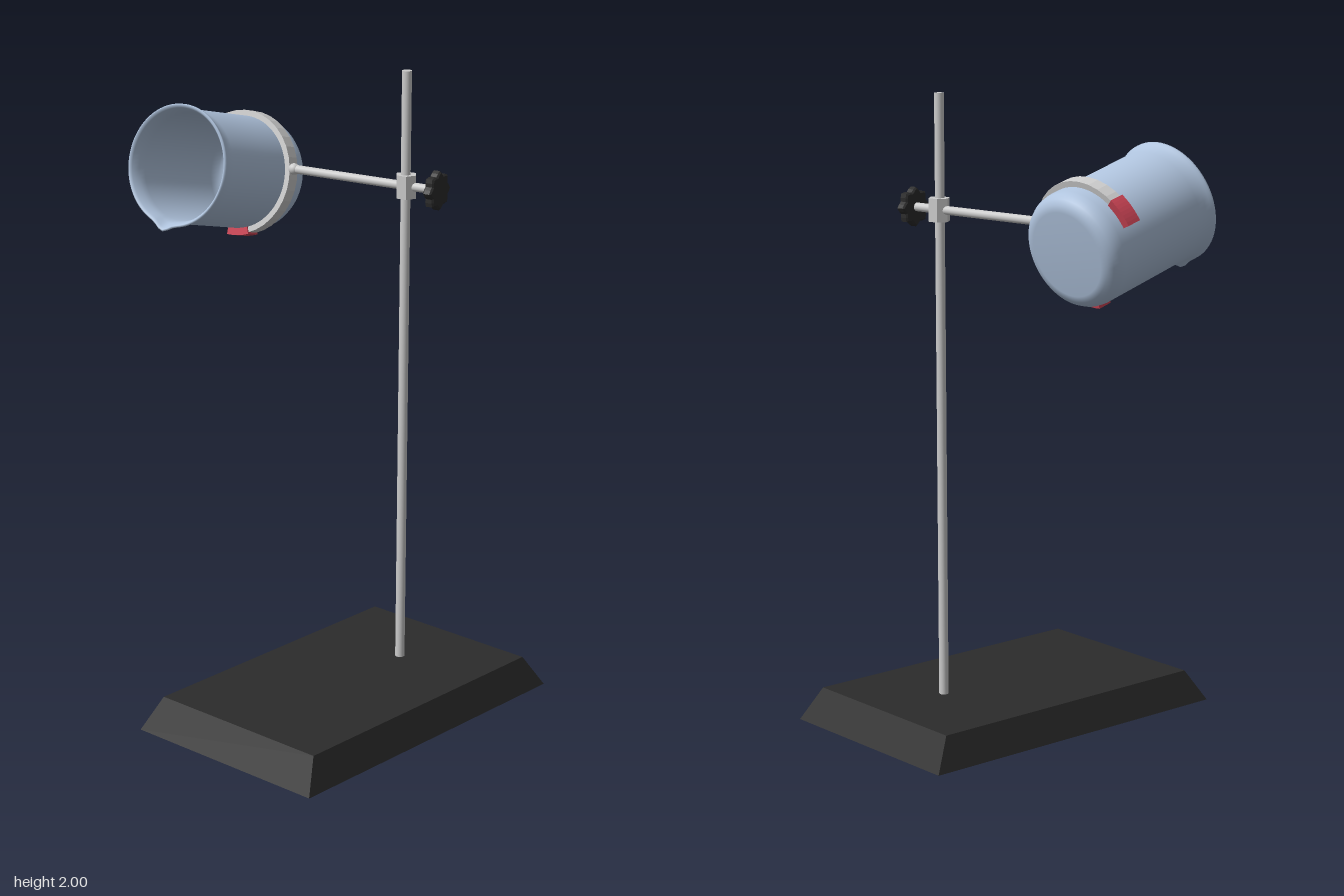
import * as THREE from 'three';
import { mergeVertices } from 'three/addons/utils/BufferGeometryUtils.js';

const mat = (color, flatShading = false) => {
  const m = new THREE.MeshStandardMaterial({ color });
  m.flatShading = flatShading;
  return m;
};
const rad = THREE.MathUtils.degToRad;

function add(parent, name, geometry, material, x = 0, y = 0, z = 0) {
  const mesh = new THREE.Mesh(geometry, material);
  mesh.name = name;
  mesh.position.set(x, y, z);
  parent.add(mesh);
  return mesh;
}

// Flat curved band between two angles (degrees), centred on z = 0
function band(inner, outer, from, to, depth, curveSegments) {
  const s = new THREE.Shape();
  s.absarc(0, 0, outer, rad(from), rad(to), false);
  s.absarc(0, 0, inner, rad(to), rad(from), true);
  s.closePath();
  return new THREE.ExtrudeGeometry(s, { depth, bevelEnabled: false, curveSegments }).translate(0, 0, -depth / 2);
}

// Turned cup with a flared rim, pulled out into a small pouring lip
function beakerGeometry() {
  const profile = [
    [0, 0], [0.13, 0], [0.15, 0.005], [0.165, 0.017], [0.174, 0.034], [0.177, 0.055],
    [0.177, 0.23], [0.177, 0.395], [0.179, 0.42], [0.184, 0.436], [0.189, 0.444], [0.189, 0.45],
    [0.184, 0.453], [0.177, 0.445], [0.17, 0.42], [0.167, 0.395], [0.167, 0.06],
    [0.16, 0.03], [0.14, 0.014], [0, 0.012],
  ].map(([r, y]) => new THREE.Vector2(r, y));
  let g = new THREE.LatheGeometry(profile, 72);
  const p = g.attributes.position;
  for (let i = 0; i < p.count; i++) {
    const x = p.getX(i), y = p.getY(i), z = p.getZ(i), r = Math.hypot(x, z);
    const k = THREE.MathUtils.smoothstep(y, 0.385, 0.45);
    if (k === 0 || r < 0.1) continue;
    const a = (Math.atan2(x, z) + 0.1) / 0.14;
    const s = 1 + (0.018 * k * Math.exp(-a * a)) / r;
    p.setXYZ(i, x * s, y, z * s);
  }
  g.deleteAttribute('uv');
  g.deleteAttribute('normal');
  g = mergeVertices(g, 1e-5);
  g.computeVertexNormals();
  return g.rotateX(Math.PI / 2);
}

export function createModel() {
  const root = new THREE.Group();
  root.name = 'laboratoryStand';
  const metal = mat(0xcccccc), dark = mat(0x2b2b2b, true);
  const red = mat(0xcc4455), glass = mat(0xb0c4de);

  // Base: a slab with sloping sides
  const slab = new THREE.BoxGeometry(0.706, 0.102, 1.12);
  const p = slab.attributes.position;
  for (let i = 0; i < p.count; i++) {
    if (p.getY(i) > 0) p.setXYZ(i, p.getX(i) * 0.886, p.getY(i), p.getZ(i) * 0.887);
  }
  slab.computeVertexNormals();
  add(root, 'base', slab, dark, 0.205, 0.051, 0);

  // Upright rod
  add(root, 'rod', new THREE.CylinderGeometry(0.015, 0.015, 1.91, 24), metal, 0.22, 1.045, -0.242);

  // Clamp arm group, with its x axis along the arm
  const arm = new THREE.Group();
  arm.name = 'clampArm';
  arm.position.set(0.22, 1.645, -0.245);
  arm.rotation.y = rad(9.7);
  root.add(arm);
  add(arm, 'boss', new THREE.CylinderGeometry(0.034, 0.034, 0.072, 6).rotateY(Math.PI / 2), mat(0xcccccc, true));
  add(arm, 'armBar', new THREE.CylinderGeometry(0.0135, 0.0135, 0.52, 20).rotateZ(Math.PI / 2), metal, -0.15);
  add(arm, 'armEnd', new THREE.SphereGeometry(0.018, 20, 14), metal, -0.405);

  // Scalloped thumb knob
  const lobes = new THREE.Shape();
  for (let i = 0; i < 32; i++) {
    const a = (i / 32) * Math.PI * 2, r = 0.055 + 0.006 * Math.cos(8 * a);
    lobes[i ? 'lineTo' : 'moveTo'](r * Math.cos(a), r * Math.sin(a));
  }
  lobes.closePath();
  const knob = new THREE.ExtrudeGeometry(lobes, {
    depth: 0.02, bevelThickness: 0.005, bevelSize: 0.005, bevelOffset: -0.005, bevelSegments: 1,
  });
  add(arm, 'knob', knob.rotateY(Math.PI / 2), dark, 0.096);

  // Tilted beaker, with its z axis pointing out of the mouth
  const held = new THREE.Group();
  held.name = 'heldBeaker';
  held.position.set(-0.379, 1.606, -0.158);
  held.rotation.set(rad(-14.2), rad(5.5), 0, 'YXZ');
  root.add(held);
  add(held, 'beaker', beakerGeometry(), glass, 0, 0, -0.108);

  // Open clamp ring with coated tips
  add(held, 'clampRing', band(0.175, 0.195, -92, 156, 0.042, 12), metal);
  for (const [from, to] of [[-93, -69], [131, 157]]) {
    add(held, 'ringTip', band(0.171, 0.2, from, to, 0.05, 4), red);
  }
  return root;
}
